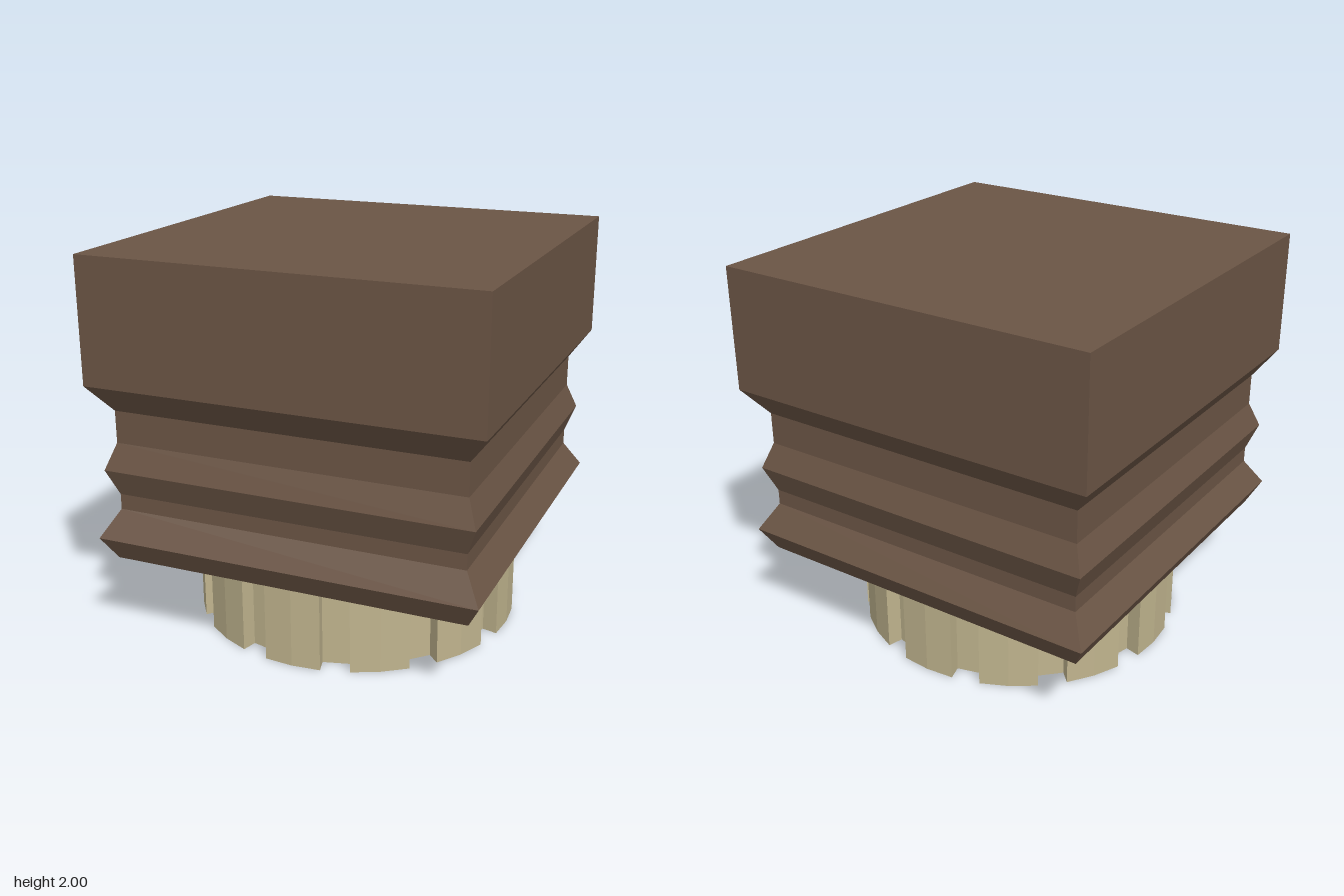
import * as THREE from 'three';

const material = (color) => new THREE.MeshStandardMaterial({ color, flatShading: true });

// Square moulded block: a four-sided lathe of half-width / height steps
function buildCapital() {
  const profile = [
    [0, 0.45], [0.92, 0.45], [0.985, 0.57], [0.9, 0.71], [0.9, 0.79], [0.95, 0.925],
    [0.9, 1.06], [0.9, 1.225], [1, 1.365], [1, 2], [0, 2],
  ].map(([half, y]) => new THREE.Vector2(half * Math.SQRT2, y));
  const mesh = new THREE.Mesh(new THREE.LatheGeometry(profile, 4, Math.PI / 4), material(0x6b5545));
  mesh.name = 'mouldedCapital';
  return mesh;
}

// Round shaft with twelve square-cut flutes between faceted ribs
function buildShaft() {
  const radius = 0.85, depth = 0.08, flutes = 12;
  const rad = THREE.MathUtils.degToRad;
  const rim = (deg) => new THREE.Vector2(Math.cos(rad(deg)), Math.sin(rad(deg))).multiplyScalar(radius);
  const outline = [];
  for (let i = 0; i < flutes; i++) {
    const a = i * 360 / flutes;
    const inward = rim(a + 15).setLength(-depth);
    // rib: two facets
    outline.push(rim(a - 10), rim(a), rim(a + 10));
    // flute: parallel walls and a flat floor
    outline.push(rim(a + 10).add(inward), rim(a + 20).add(inward));
  }
  const geometry = new THREE.ExtrudeGeometry(new THREE.Shape(outline), { depth: 0.45, bevelEnabled: false });
  geometry.rotateX(-Math.PI / 2);
  const mesh = new THREE.Mesh(geometry, material(0xc0b48e));
  mesh.name = 'flutedShaft';
  return mesh;
}

export function createModel() {
  const group = new THREE.Group();
  group.name = 'columnCapital';
  group.add(buildCapital(), buildShaft());
  return group;
}
